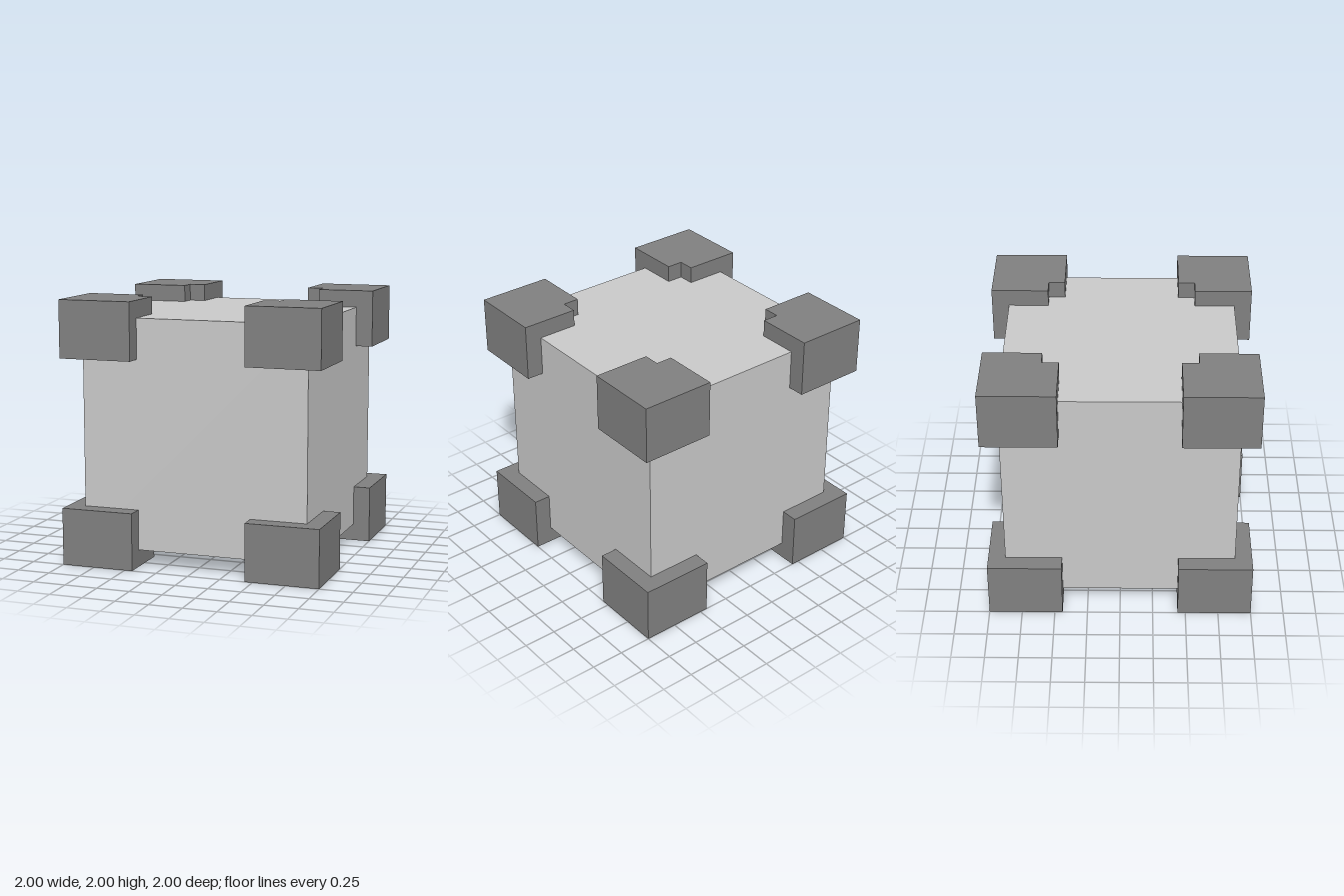
import * as THREE from 'three';

export function createModel() {
  const model = new THREE.Group();
  model.name = 'crate';
  const light = new THREE.MeshStandardMaterial({ name: 'light grey', color: 0xc9c9c9 });
  const dark = new THREE.MeshStandardMaterial({ name: 'dark grey', color: 0x808080 });

  // Cube body
  const body = new THREE.Mesh(new THREE.BoxGeometry(1.74, 1.74, 1.74), light);
  body.name = 'body';
  body.position.y = 1;
  model.add(body);

  // Eight corner guards: squares with a notch in the inner corner
  const inner = 0.44, notch = 0.565, outer = 1, height = 0.435;
  const outline = [[outer, outer], [inner, outer], [inner, notch], [notch, notch], [notch, inner], [outer, inner]];
  for (const sx of [-1, 1]) {
    for (const sz of [-1, 1]) {
      const shape = new THREE.Shape(outline.map(([x, z]) => new THREE.Vector2(sx * x, sz * z)));
      const geometry = new THREE.ExtrudeGeometry(shape, { depth: height, bevelEnabled: false });
      geometry.rotateX(Math.PI / 2);
      for (const top of [height, 2]) {
        const guard = new THREE.Mesh(geometry, dark);
        guard.name = `${top === 2 ? 'top' : 'bottom'}${sz > 0 ? 'Front' : 'Back'}${sx > 0 ? 'Left' : 'Right'}Corner`;
        guard.position.y = top;
        model.add(guard);
      }
    }
  }
  return model;
}
